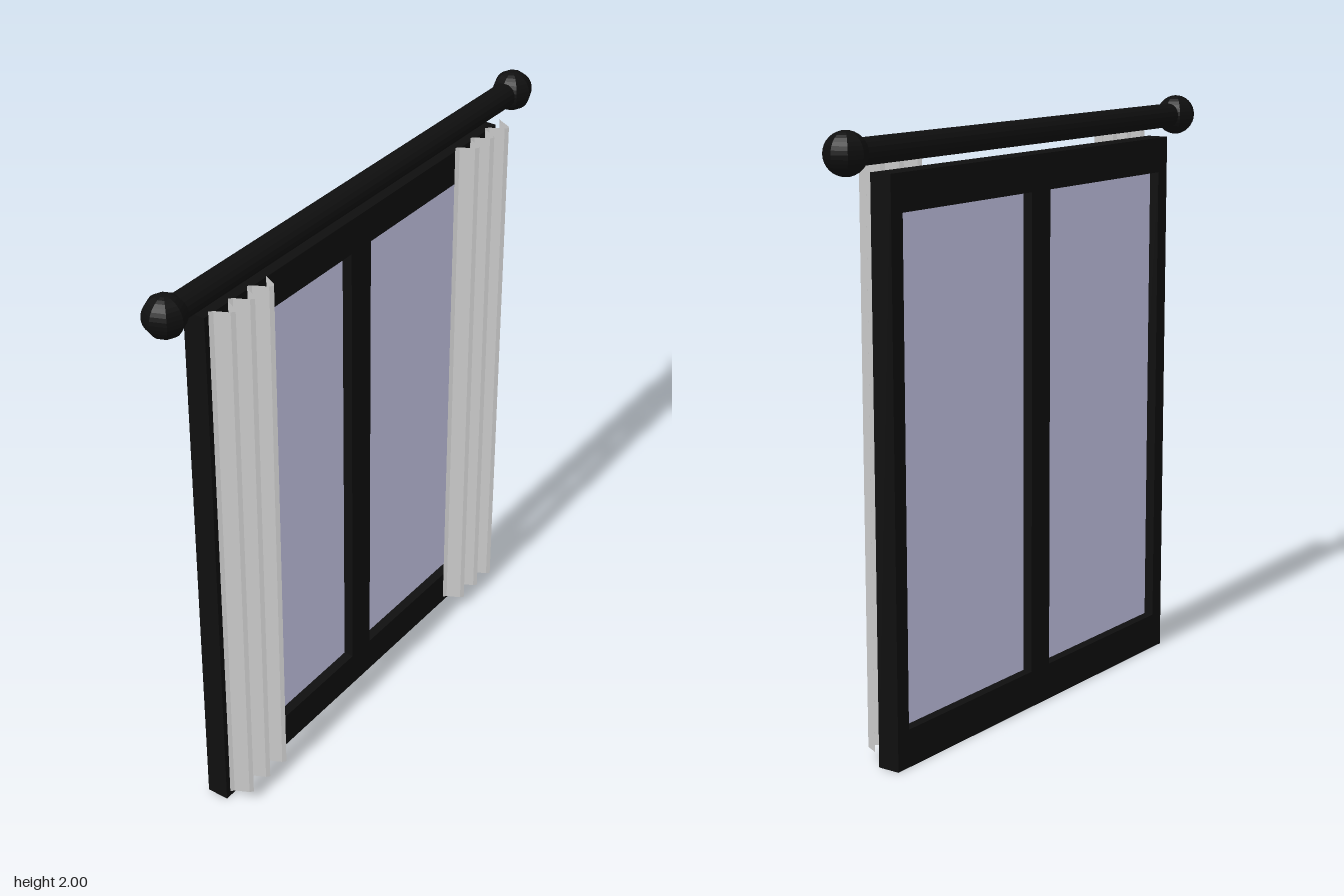
import * as THREE from 'three';

const dark = new THREE.MeshStandardMaterial({ color: 0x0f0f0f });
const darkFaceted = new THREE.MeshStandardMaterial({ color: 0x0f0f0f, flatShading: true });
const glass = new THREE.MeshStandardMaterial({ color: 0xccccee });
const cloth = new THREE.MeshStandardMaterial({ color: 0xcccccc, flatShading: true, side: THREE.DoubleSide });

// Rectangular outline between two corners
function rect(Type, x0, y0, x1, y1) {
  const r = new Type();
  r.moveTo(x0, y0);
  r.lineTo(x1, y0);
  r.lineTo(x1, y1);
  r.lineTo(x0, y1);
  r.closePath();
  return r;
}

// Pleated thin sheet, hanging in the local XY plane with folds along Z
function pleatedSheet(width, height, pleats, depth) {
  const geo = new THREE.PlaneGeometry(width, height, pleats * 8, 1);
  const p = geo.attributes.position;
  for (let i = 0; i < p.count; i++) {
    const t = p.getX(i) / width + 0.5;
    p.setZ(i, -Math.cos(t * pleats * Math.PI * 2) * depth / 2);
  }
  geo.computeVertexNormals();
  return geo;
}

export function createModel() {
  const group = new THREE.Group();
  const add = (name, geo, mat, x, y, z) => {
    const mesh = new THREE.Mesh(geo, mat);
    mesh.name = name;
    mesh.position.set(x, y, z);
    group.add(mesh);
    return mesh;
  };

  // Window frame with two openings, facing +x
  const outline = rect(THREE.Shape, -0.775, 0, 0.775, 1.865);
  outline.holes.push(
    rect(THREE.Path, -0.72, 0.125, -0.052, 1.745),
    rect(THREE.Path, 0.052, 0.125, 0.72, 1.745)
  );
  const frameGeo = new THREE.ExtrudeGeometry(outline, { depth: 0.077, bevelEnabled: false });
  add('windowFrame', frameGeo, dark, -0.072, 0, 0).rotation.y = Math.PI / 2;

  // Curtain rod
  const rodGeo = new THREE.CylinderGeometry(0.042, 0.042, 1.8, 16);
  add('curtainRod', rodGeo, darkFaceted, -0.02, 1.932, 0).rotation.x = Math.PI / 2;

  // Parts that repeat on both sides
  for (const s of [1, -1]) {
    const side = s > 0 ? 'Front' : 'Back';
    add('glassPane' + side, new THREE.BoxGeometry(0.008, 1.62, 0.668), glass, -0.034, 0.935, s * 0.386);
    add('rodFinial' + side, new THREE.SphereGeometry(0.068, 8, 16), darkFaceted, -0.02, 1.932, s * 0.915);
    const curtain = add('curtain' + side, pleatedSheet(0.27, 1.85, 3, 0.064), cloth, 0.053, 0.967, s * 0.64);
    curtain.rotation.y = Math.PI / 2;
  }
  return group;
}
